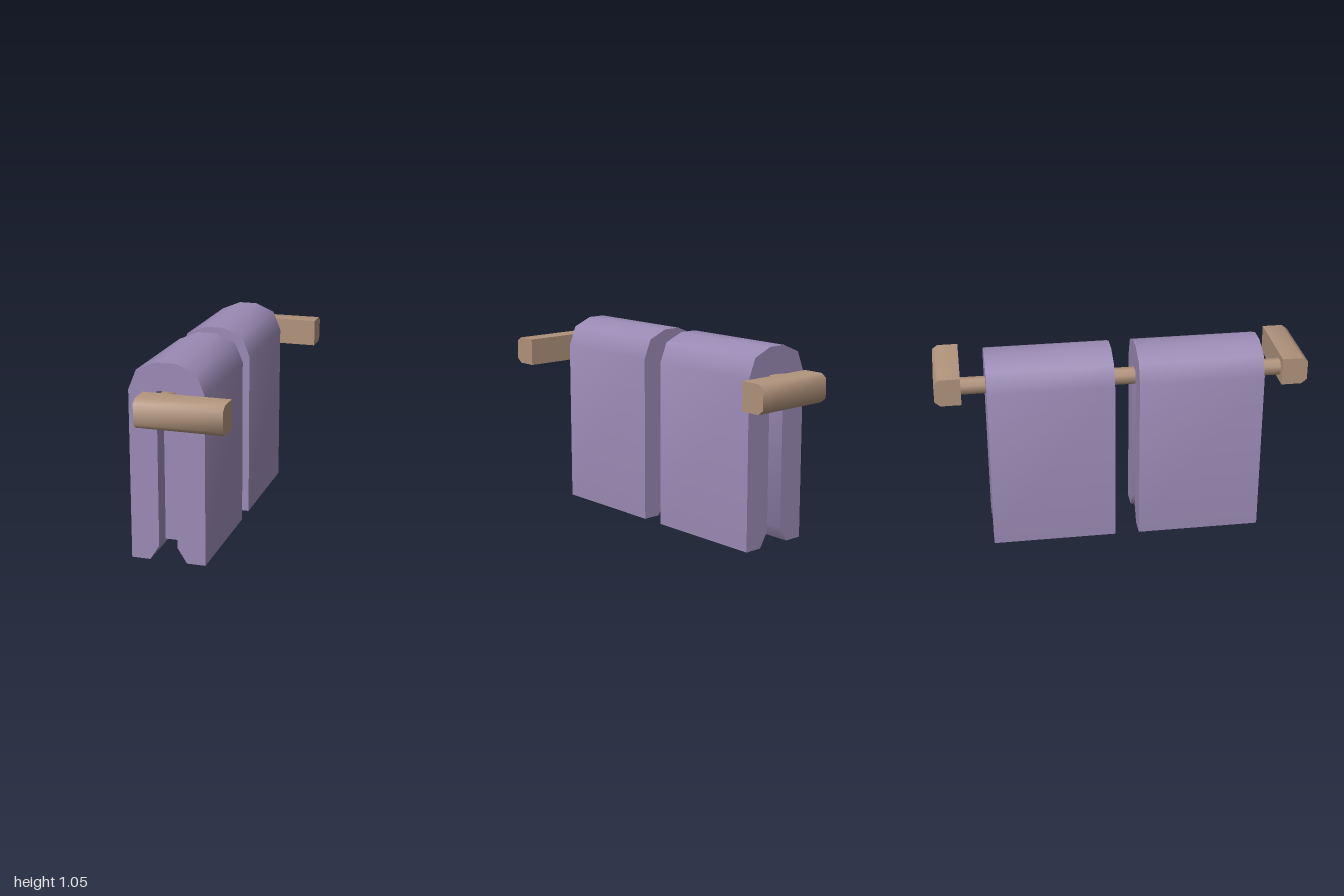
import * as THREE from 'three';
import { toCreasedNormals } from 'three/addons/utils/BufferGeometryUtils.js';

const cloth = new THREE.MeshStandardMaterial({ color: 0x9a8ab4 });
cloth.name = 'lavender cloth';
const wood = new THREE.MeshStandardMaterial({ color: 0xb0937c });
wood.name = 'tan wood';

const BAR_X = -0.09, BAR_Y = 0.867;

// Extrudes an outline along z from z = 0, smoothing the shallow bends
function prism(points, depth) {
  const shape = new THREE.Shape(points.map(([x, y]) => new THREE.Vector2(x, y)));
  const geometry = new THREE.ExtrudeGeometry(shape, { depth, bevelEnabled: false });
  return toCreasedNormals(geometry, 1.0);
}

function addMesh(parent, name, geometry, material) {
  const mesh = new THREE.Mesh(geometry, material);
  mesh.name = name;
  parent.add(mesh);
  return mesh;
}

// Half outline of a draped towel, from its top to the inner slot, measured from the bar
const half = [
  [0.05, 1.055], [0.157, 1.01], [0.2, 0.905], [0.2, 0],
  [0.1, 0], [0.05, 0.08], [0.05, 0.91],
];

function makeTowel(name, z) {
  const towel = new THREE.Group();
  towel.name = name;
  const outline = [...half, ...half.map(([x, y]) => [-x, y]).reverse()];
  const drape = addMesh(towel, 'drapedCloth', prism(outline, 0.665), cloth);
  drape.position.z = -0.3325;
  // recessed inner layer closing the slot between the two sides
  const inner = addMesh(towel, 'innerFold', new THREE.BoxGeometry(0.1, 0.83, 0.465), cloth);
  inner.position.y = 0.495;
  towel.position.set(BAR_X, 0, z);
  return towel;
}

function makeBracket(name, side) {
  // section across the bracket: z outward, y up, with bevelled outer corners
  const section = [
    [0.86, 0.79], [0.97, 0.79], [1, 0.815],
    [1, 0.918], [0.97, 0.94], [0.86, 0.94],
  ];
  const bracket = new THREE.Group();
  bracket.name = name;
  const arm = addMesh(bracket, 'bracketArm', prism(section, 0.45), wood);
  arm.rotation.y = side > 0 ? -Math.PI / 2 : Math.PI / 2;
  arm.position.x = side > 0 ? 0.288 : -0.162;
  return bracket;
}

export function createModel() {
  const model = new THREE.Group();
  model.name = 'towelRail';

  // rail
  const r = 0.0425 / Math.cos(Math.PI / 8);
  const rail = new THREE.CylinderGeometry(r, r, 1.74, 8, 1, false, Math.PI / 8);
  rail.rotateX(Math.PI / 2);
  addMesh(model, 'rail', rail, wood).position.set(BAR_X, BAR_Y, 0);

  // towels and wall brackets, front and back
  for (const [label, side] of [['front', 1], ['back', -1]]) {
    model.add(makeTowel(label + 'Towel', side * 0.3975));
    model.add(makeBracket(label + 'Bracket', side));
  }
  return model;
}
